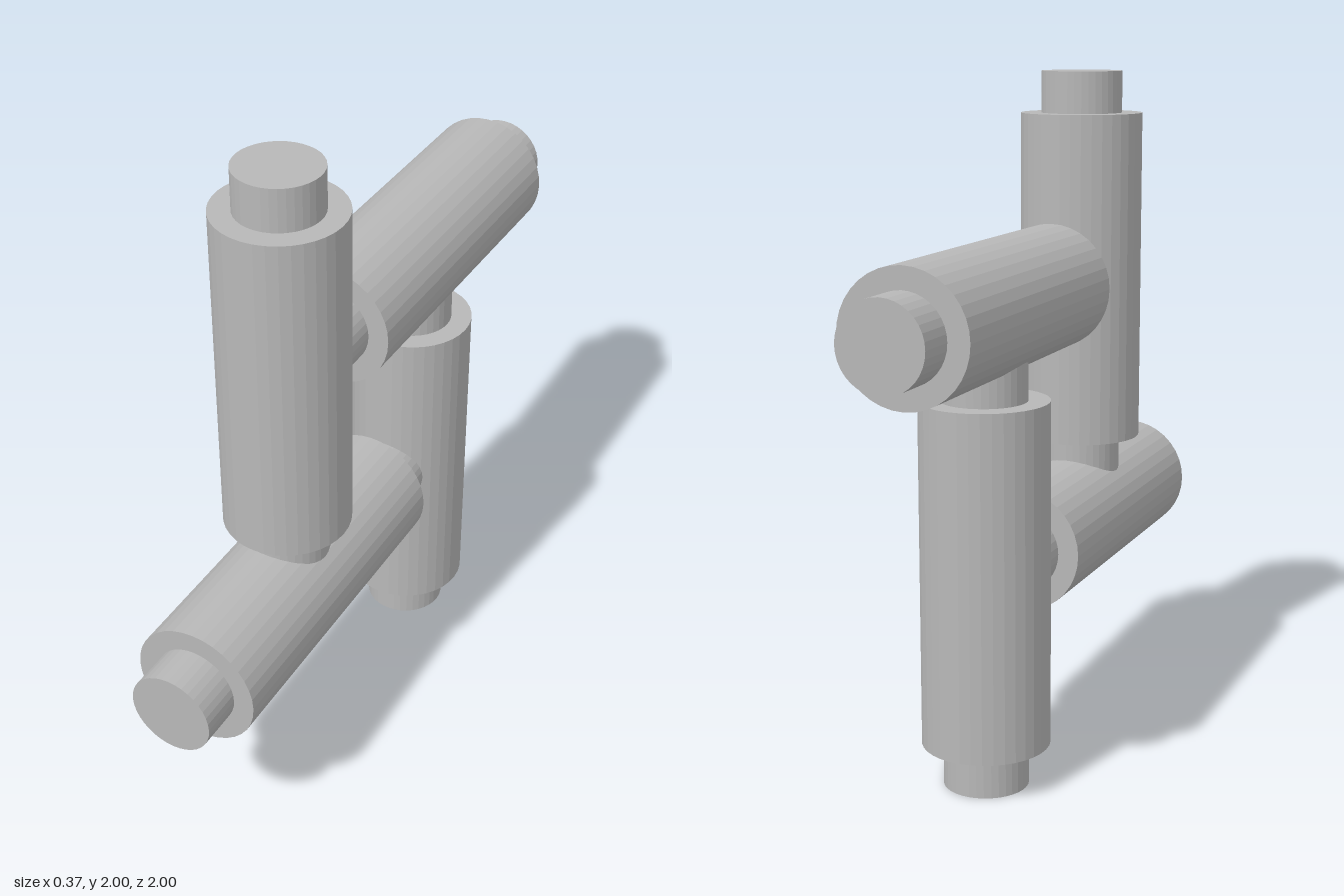
import * as THREE from 'three';

const SIDES = 36;
const BODY_RADIUS = 0.185, BODY_LENGTH = 1.0;
const PIN_RADIUS = 0.123, PIN_LENGTH = 0.125;

export function createModel() {
  const model = new THREE.Group();
  model.name = 'interlockedRods';

  const grey = new THREE.MeshStandardMaterial({ color: 0xb8b8b8, flatShading: true });
  grey.name = 'plainGrey';

  const bodyGeometry = new THREE.CylinderGeometry(BODY_RADIUS, BODY_RADIUS, BODY_LENGTH, SIDES);
  const pinGeometry = new THREE.CylinderGeometry(PIN_RADIUS, PIN_RADIUS, PIN_LENGTH, SIDES);

  // A thick rod with a thinner pin at each end, along y
  function addRod(name, y, z, lyingDown) {
    const rod = new THREE.Group();
    rod.name = name;
    const body = new THREE.Mesh(bodyGeometry, grey);
    body.name = 'body';
    rod.add(body);
    for (const end of [-1, 1]) {
      const pin = new THREE.Mesh(pinGeometry, grey);
      pin.name = end > 0 ? 'endPin' : 'startPin';
      pin.position.y = end * (BODY_LENGTH + PIN_LENGTH) / 2;
      rod.add(pin);
    }
    rod.position.set(0, y, z);
    if (lyingDown) rod.rotation.x = Math.PI / 2;
    model.add(rod);
  }

  // Each rod's inner pin plugs into the side of the next one
  addRod('frontUprightRod', 1.375, 0.375, false);
  addRod('upperLyingRod', 1.375, -0.375, true);
  addRod('backUprightRod', 0.625, -0.375, false);
  addRod('lowerLyingRod', 0.625, 0.375, true);

  return model;
}
